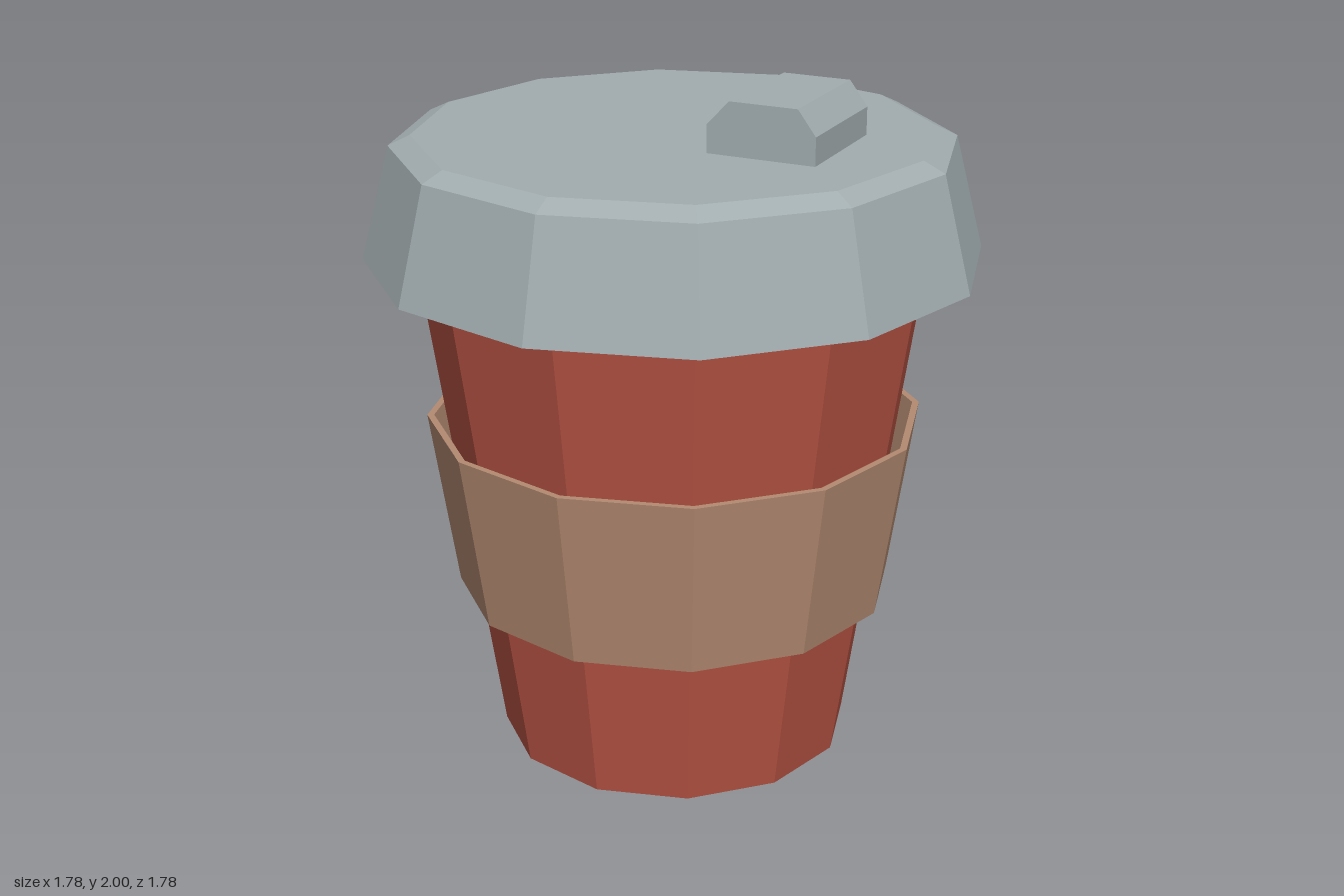
import * as THREE from 'three';

const SIDES = 12;

const paint = (name, color) => {
  const m = new THREE.MeshStandardMaterial({ color });
  m.name = name;
  return m;
};

// Splits shared corners so that every face is flat
function faceted(geometry) {
  const g = geometry.index ? geometry.toNonIndexed() : geometry;
  g.computeVertexNormals();
  return g;
}

// Twelve-sided part turned from a [radius, height] profile
function turned(profile) {
  const points = profile.map(([r, y]) => new THREE.Vector2(r, y));
  return faceted(new THREE.LatheGeometry(points, SIDES));
}

export function createModel() {
  const red = paint('cupRed', 0xb65343);
  const tan = paint('sleeveTan', 0xb38a71);
  const grey = paint('lidGrey', 0xa2adb0);

  const model = new THREE.Group();
  model.name = 'takeawayCup';
  const add = (name, geometry, material) => {
    const mesh = new THREE.Mesh(geometry, material);
    mesh.name = name;
    model.add(mesh);
    return mesh;
  };

  // Tapered cup with a closed base
  add('cup', turned([[0, 0], [0.52, 0], [0.741, 1.5]]), red);

  // Thin sleeve standing clear of the cup wall
  add('sleeve', turned([
    [0.645, 0.48], [0.725, 1.01], [0.705, 1.01], [0.625, 0.48], [0.645, 0.48],
  ]), tan);

  // Lid with flared skirt, bevelled top edge and flat underside
  add('lid', turned([
    [0.7, 1.49], [0.888, 1.49], [0.803, 1.82], [0.74, 1.85], [0, 1.85],
  ]), grey);

  // Drinking spout, chamfered along both long edges
  const outline = new THREE.Shape([
    [0.185, 1.845], [0.503, 1.845], [0.503, 1.93], [0.45, 2], [0.25, 2], [0.185, 1.93],
  ].map(([x, y]) => new THREE.Vector2(x, y)));
  const spout = new THREE.ExtrudeGeometry(outline, { depth: 0.37, bevelEnabled: false });
  spout.translate(0, 0, -0.185);
  add('spout', faceted(spout), grey);

  return model;
}
